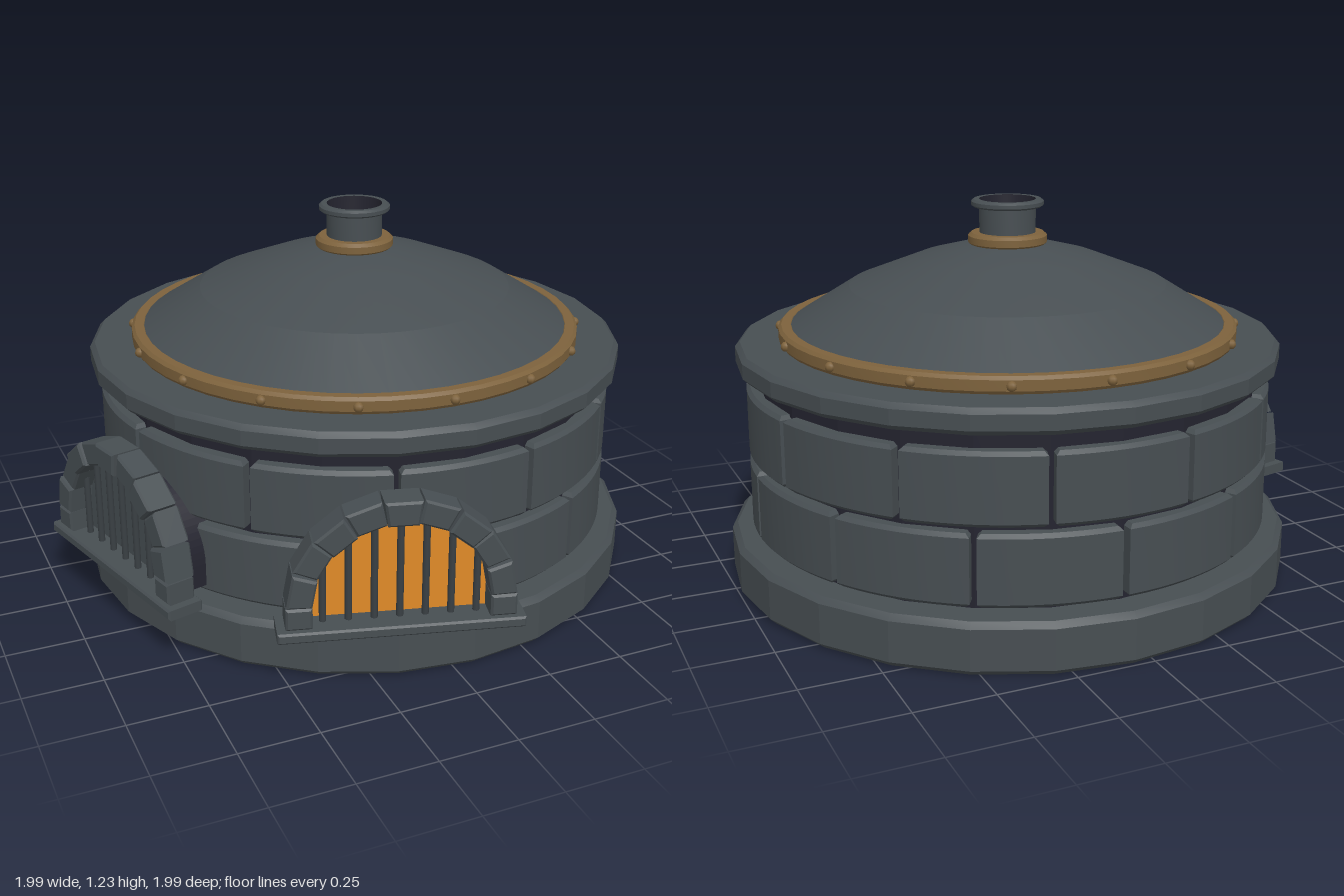
import * as THREE from 'three';
import { toCreasedNormals } from 'three/addons/utils/BufferGeometryUtils.js';

const CX = 0.065, CZ = -0.07; // axis of the round body

function material(name, color, flat = false) {
  const m = new THREE.MeshStandardMaterial({ color, flatShading: flat });
  m.name = name;
  return m;
}

export function createModel() {
  const stone = material('slate stone', 0x474e52);
  const dark = material('dark recess', 0x24242f);
  const brass = material('aged brass', 0x7d623c);
  const glow = material('fire orange', 0xe08a28);
  const iron = material('dark iron', 0x3a4044);

  const model = new THREE.Group();
  model.name = 'roundFurnace';
  const body = new THREE.Group();
  body.name = 'body';
  body.position.set(CX, 0, CZ);
  model.add(body);

  function add(parent, name, geometry, mat, x = 0, y = 0, z = 0) {
    const mesh = new THREE.Mesh(geometry, mat);
    mesh.name = name;
    mesh.position.set(x, y, z);
    parent.add(mesh);
    return mesh;
  }
  const lathe = (points, sides, crease = 0.2) => toCreasedNormals(
    new THREE.LatheGeometry(points.map(p => new THREE.Vector2(...p)), sides), crease);
  // Solid disc with bevelled rims
  const disc = (r, y0, y1, b, sides) => lathe(
    [[0, y0], [r - b, y0], [r, y0 + b], [r, y1 - b], [r - b, y1], [0, y1]], sides);
  const bevelled = (shape, depth, b, segments = 4) => toCreasedNormals(
    new THREE.ExtrudeGeometry(shape, {
      depth: depth - 2 * b, bevelEnabled: true, bevelSize: b, bevelThickness: b,
      bevelSegments: 1, curveSegments: segments,
    }).translate(0, 0, b), 0.4);

  // Plinth, inner drum and cornice
  add(body, 'plinth', disc(0.932, 0, 0.165, 0.018, 24), stone);
  add(body, 'innerDrum', disc(0.825, 0.15, 0.715, 0.005, 24), dark);
  add(body, 'cornice', disc(0.893, 0.705, 0.785, 0.016, 24), stone);

  // Two staggered courses of curved blocks
  const B = 0.012, STEP = Math.PI / 6, half = STEP / 2 - 0.026;
  const arc = new THREE.Shape();
  arc.absarc(0, 0, 0.862 - B, -half, half, false);
  arc.absarc(0, 0, 0.79, half, -half, true);
  const blockGeo = bevelled(arc, 0.226, B).rotateX(-Math.PI / 2);
  for (let row = 0; row < 2; row++) {
    for (let i = 0; i < 12; i++) {
      const block = add(body, 'wallBlock', blockGeo, stone, 0, 0.18 + row * 0.245, 0);
      block.rotation.y = (i + (row ? 0 : 0.5)) * STEP;
    }
  }

  // Dome with its riveted ring
  add(body, 'dome', lathe([[0.72, 0.785], [0.72, 0.83], [0.52, 0.955], [0.295, 1.043],
    [0.155, 1.08], [0.08, 1.09]], 48, 0.15), stone);
  add(body, 'domeRing', lathe([[0.70, 0.785], [0.745, 0.785], [0.752, 0.795], [0.752, 0.828],
    [0.742, 0.838], [0.712, 0.838], [0.70, 0.826]], 48, 0.5), brass);
  const rivetGeo = new THREE.SphereGeometry(0.016, 8, 6);
  for (let i = 0; i < 16; i++) {
    const a = i * Math.PI / 8;
    add(body, 'rivet', rivetGeo, brass, 0.753 * Math.sin(a), 0.811, 0.753 * Math.cos(a));
  }

  // Chimney: collar, hollow pipe with lip, dark bore
  add(body, 'chimneyCollar', lathe([[0.08, 1.08], [0.118, 1.08], [0.129, 1.09], [0.129, 1.112],
    [0.118, 1.122], [0.08, 1.122]], 32, 0.5), brass);
  add(body, 'chimneyPipe', lathe([[0.092, 1.08], [0.092, 1.205], [0.11, 1.205], [0.118, 1.211],
    [0.118, 1.223], [0.11, 1.23], [0.092, 1.23]], 32, 0.5), stone);
  add(body, 'chimneyBore', lathe([[0.092, 1.23], [0.088, 1.11], [0, 1.11]].reverse(), 32, 0.5),
    dark).material.side = THREE.DoubleSide;

  // Arched fire mouths
  const SPRING = 0.28, SILL = 0.215;
  const archShape = (rx, ry) => {
    const s = new THREE.Shape();
    s.moveTo(-rx, SILL - 0.01);
    s.lineTo(rx, SILL - 0.01);
    s.lineTo(rx, SPRING);
    s.absellipse(0, SPRING, rx, ry, 0, Math.PI, false);
    return s;
  };
  const polygon = pts => new THREE.Shape(pts.map(p => new THREE.Vector2(...p)));

  function fireMouth(name, angle, panelMaterial) {
    const g = new THREE.Group();
    g.name = name;
    g.rotation.y = angle;
    body.add(g);

    add(g, 'sill', bevelled(polygon([[-0.365, 0.186], [0.365, 0.186], [0.365, 0.208],
      [-0.365, 0.208]]), 0.12, 0.006), stone, 0, 0, 0.877);
    add(g, 'recess', new THREE.ExtrudeGeometry(archShape(0.29, 0.275),
      { depth: 0.11, bevelEnabled: false, curveSegments: 20 }), dark, 0, 0, 0.785);
    add(g, 'mouthPanel', new THREE.ExtrudeGeometry(archShape(0.28, 0.265),
      { depth: 0.006, bevelEnabled: false, curveSegments: 20 }), panelMaterial, 0, 0, 0.896);

    // Jamb blocks and wedge stones
    const b = 0.007;
    for (const s of [-1, 1]) {
      const x0 = s * 0.305 - 0.04 + b, x1 = s * 0.305 + 0.04 - b;
      add(g, 'jamb', bevelled(polygon([[x0, SILL + b], [x1, SILL + b], [x1, SPRING - b + 0.005],
        [x0, SPRING - b + 0.005]]), 0.095, b), stone, 0, 0, 0.887);
    }
    const N = 9;
    for (let i = 0; i < N; i++) {
      const a0 = (i / N) * Math.PI + 0.028, a1 = ((i + 1) / N) * Math.PI - 0.028;
      const at = (a, r) => [r * Math.cos(a), SPRING + 0.005 + (r - 0.015) * Math.sin(a)];
      add(g, 'archStone', bevelled(polygon([at(a0, 0.265 + b), at(a0, 0.343 - b),
        at(a1, 0.343 - b), at(a1, 0.265 + b)]), i % 2 ? 0.09 : 0.1, b), stone, 0, 0, 0.884);
    }

    // Grate bars, cut to the curve of the arch
    for (let i = -3; i <= 3; i++) {
      const x = i * 0.077;
      const top = SPRING + 0.255 * Math.sqrt(1 - (x / 0.268) ** 2);
      add(g, 'grateBar', new THREE.CylinderGeometry(0.011, 0.011, top - SILL + 0.01, 8), iron,
        x, (top + SILL) / 2, 0.93);
    }
  }
  fireMouth('litFireMouth', -Math.PI / 12, glow);
  fireMouth('closedFireMouth', -Math.PI * 5 / 12, stone);

  return model;
}
